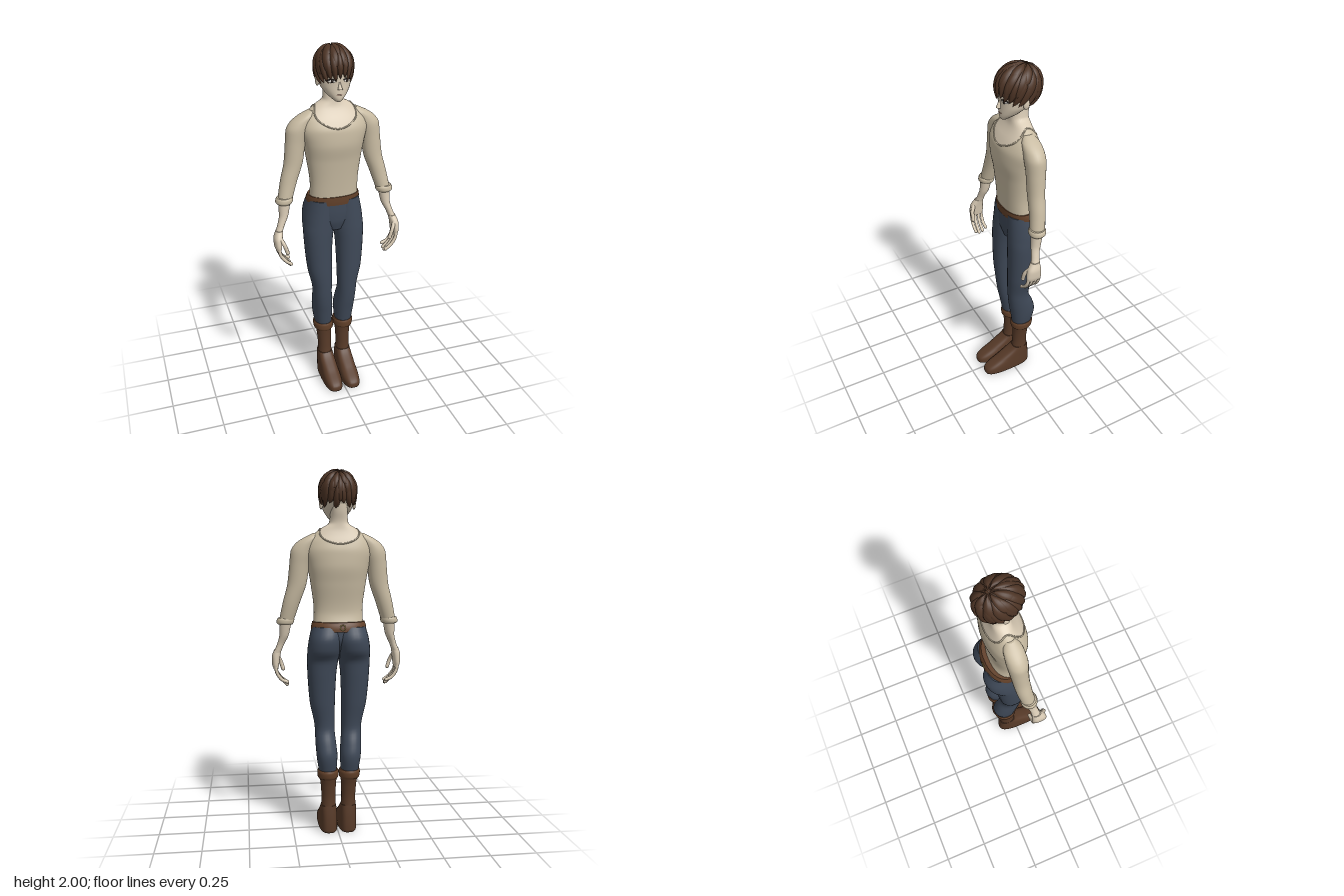
import * as THREE from 'three';

const mat = (name, color, side = THREE.FrontSide) => {
  const m = new THREE.MeshStandardMaterial({ color, side });
  m.name = name;
  return m;
};

// Smooth grid surface from fn(u, v); wrap closes it around u, caps fill both ends.
function grid(fn, nu, nv, wrap = true, caps = false) {
  const pos = [], idx = [], cols = wrap ? nu : nu + 1;
  for (let i = 0; i <= nv; i++)
    for (let j = 0; j < cols; j++) pos.push(...fn(j / nu, i / nv));
  for (let i = 0; i < nv; i++)
    for (let j = 0; j < nu; j++) {
      const k = (j + 1) % cols;
      const a = i * cols + j, b = a + cols, c = (i + 1) * cols + k, d = i * cols + k;
      idx.push(a, b, d, b, c, d);
    }
  if (caps) for (const v of [0, 1]) {
    const base = pos.length / 3, mid = [0, 0, 0];
    for (let j = 0; j < nu; j++) {
      const p = fn(j / nu, v);
      pos.push(...p);
      p.forEach((q, k) => { mid[k] += q / nu; });
    }
    pos.push(...mid);
    for (let j = 0; j < nu; j++) {
      const k = (j + 1) % nu;
      idx.push(base + nu, base + (v ? k : j), base + (v ? j : k));
    }
  }
  const g = new THREE.BufferGeometry();
  g.setAttribute('position', new THREE.Float32BufferAttribute(pos, 3));
  g.setIndex(idx);
  g.computeVertexNormals();
  return g;
}

// Monotone cubic interpolation of column k of rows [y, x0, x1, z0, z1], rising in y.
function sample(rows, y, k) {
  const n = rows.length - 1;
  let i = 0;
  while (i < n - 1 && y > rows[i + 1][0]) i++;
  const slope = (j) => (rows[j + 1][k] - rows[j][k]) / (rows[j + 1][0] - rows[j][0]);
  const tan = (j) => {
    if (j === 0) return slope(0);
    if (j === n) return slope(n - 1);
    const a = slope(j - 1), b = slope(j);
    return a * b <= 0 ? 0 : (2 * a * b) / (a + b);
  };
  const h = rows[i + 1][0] - rows[i][0], t = (y - rows[i][0]) / h;
  const t2 = t * t, t3 = t2 * t;
  return (2 * t3 - 3 * t2 + 1) * rows[i][k] + (t3 - 2 * t2 + t) * h * tan(i)
    + (3 * t2 - 2 * t3) * rows[i + 1][k] + (t3 - t2) * h * tan(i + 1);
}

// Point on a rounded cross-section at height y; e > 2 makes it boxier.
function ringPoint(rows, y, u, e = 2) {
  const [x0, x1, z0, z1] = [1, 2, 3, 4].map((k) => sample(rows, y, k));
  const c = Math.cos(u * Math.PI * 2), s = Math.sin(u * Math.PI * 2);
  const p = (q) => Math.sign(q) * Math.abs(q) ** (2 / e);
  return [(x0 + x1) / 2 + (x1 - x0) / 2 * p(c), y, (z0 + z1) / 2 + (z1 - z0) / 2 * p(s)];
}

function loft(rows, { e = 2, nu = 28, nv = 24 } = {}) {
  const y0 = rows[0][0], y1 = rows[rows.length - 1][0];
  return grid((u, v) => ringPoint(rows, y0 + (y1 - y0) * v, u, e), nu, nv, true, true);
}

const even = (rows) => rows.map(([y, h, z0, z1]) => [y, -h, h, z0, z1]);
const flip = (rows, s) => (s > 0 ? rows : rows.map(([y, a, b, c, d]) => [y, -b, -a, c, d]));

export function createModel() {
  const skin = mat('skin', 0xd9cbb5), shirt = mat('shirt', 0xc8bba2, THREE.DoubleSide);
  const denim = mat('trousers', 0x3f4958), leather = mat('boot leather', 0x573a28);
  const strap = mat('belt leather', 0x63412a), hair = mat('hair', 0x4d3425, THREE.DoubleSide);
  const dark = mat('eye dark', 0x2a211d), white = mat('eye white', 0xeeeae2);
  const brass = mat('buckle brass', 0xb09a5c), lip = mat('lip', 0xa87e6c);

  const model = new THREE.Group(), body = new THREE.Group(), head = new THREE.Group();
  model.name = 'figure'; body.name = 'body'; head.name = 'head';
  body.position.x = -0.005;
  model.add(body, head);
  const add = (parent, name, geo, m) => {
    const mesh = new THREE.Mesh(geo, m);
    mesh.name = name;
    parent.add(mesh);
    return mesh;
  };
  const ball = (parent, name, m, p, r) => {
    const mesh = add(parent, name, new THREE.SphereGeometry(1, 16, 12), m);
    mesh.position.set(...p);
    mesh.scale.set(...r);
    return mesh;
  };
  const tube = (parent, name, pts, r, m, closed = false, n = 14) => add(parent, name,
    new THREE.TubeGeometry(new THREE.CatmullRomCurve3(pts.map((p) => new THREE.Vector3(...p)), closed), n, r, 8, closed), m);

  // Torso: one surface split at the neckline into shirt and bare neck
  const torso = even([[1.15, 0.138, -0.14, 0.03], [1.25, 0.133, -0.115, 0.036], [1.4, 0.15, -0.135, 0.05],
    [1.5, 0.168, -0.15, 0.065], [1.57, 0.182, -0.148, 0.06], [1.62, 0.172, -0.135, 0.036],
    [1.66, 0.135, -0.12, 0.008], [1.69, 0.098, -0.112, -0.008], [1.72, 0.052, -0.11, -0.014],
    [1.78, 0.045, -0.122, -0.02], [1.84, 0.048, -0.13, -0.02]]);
  const neckline = (u) => {
    const c = Math.abs(Math.cos(u * Math.PI * 2)), front = Math.sin(u * Math.PI * 2) > 0;
    const low = front ? 1.585 : 1.61;
    return low + (1.69 - low) * c ** 1.6;
  };
  add(body, 'shirt body', grid((u, v) => ringPoint(torso, 1.15 + (neckline(u) - 1.15) * v, u, 2.25), 64, 36), shirt);
  add(body, 'neck', grid((u, v) => ringPoint(torso, neckline(u) + (1.84 - neckline(u)) * v, u, 2.25), 64, 20), skin);
  const rim = Array.from({ length: 48 }, (_, i) => ringPoint(torso, neckline(i / 48), i / 48, 2.25));
  tube(body, 'collar hem', rim, 0.004, shirt, true, 96);

  // Belt with a small buckle at the back
  add(body, 'belt', loft(even([[1.146, 0.15, -0.165, 0.036], [1.17, 0.15, -0.163, 0.038], [1.195, 0.143, -0.15, 0.038]]), { e: 2.2, nu: 40, nv: 4 }), strap);
  const buckle = add(body, 'buckle', new THREE.TorusGeometry(0.014, 0.003, 6, 16), brass);
  buckle.position.set(-0.01, 1.17, -0.163);

  // Hips joining both legs
  add(body, 'hips', loft(even([[0.99, 0.05, -0.08, 0.015], [1.05, 0.12, -0.13, 0.03], [1.11, 0.152, -0.155, 0.033], [1.17, 0.143, -0.155, 0.033]]), { e: 2.2 }), denim);

  for (const s of [1, -1]) {
    const side = s > 0 ? 'left' : 'right';
    const part = (name, rows, m, opt) => add(body, `${side} ${name}`, loft(flip(rows, s), opt), m);

    // Leg and boot
    part('trouser leg', [[0.34, 0.014, 0.108, -0.118, -0.008], [0.45, 0.008, 0.124, -0.14, 0.01],
      [0.52, 0.014, 0.128, -0.122, 0.022], [0.6, 0.02, 0.13, -0.092, 0.03], [0.75, 0.018, 0.158, -0.11, 0.037],
      [0.9, 0.012, 0.17, -0.128, 0.037], [0.98, 0.002, 0.173, -0.138, 0.036], [1.04, -0.008, 0.171, -0.176, 0.034],
      [1.1, -0.015, 0.163, -0.186, 0.032], [1.17, -0.015, 0.146, -0.158, 0.03]], denim, { e: 2.15, nv: 48 });
    part('boot cuff', [[0.315, 0.008, 0.112, -0.12, -0.004], [0.325, 0.002, 0.118, -0.128, 0.002],
      [0.355, 0.001, 0.12, -0.133, 0.003], [0.366, 0.006, 0.115, -0.128, -0.002]], strap, { nv: 8 });
    part('boot shaft', [[0.12, 0.013, 0.1, -0.103, 0], [0.2, 0.017, 0.096, -0.098, -0.01],
      [0.27, 0.015, 0.1, -0.104, -0.012], [0.33, 0.01, 0.108, -0.116, -0.01]], leather);
    part('boot foot', [[0, 0.006, 0.101, -0.104, 0.175], [0.01, 0.001, 0.108, -0.11, 0.188],
      [0.032, 0.001, 0.108, -0.11, 0.185], [0.09, 0.006, 0.104, -0.107, 0.092],
      [0.14, 0.012, 0.1, -0.102, 0.012], [0.156, 0.015, 0.098, -0.1, -0.005]], leather, { e: 2.9, nu: 36 });

    // Sleeve with rolled cuff
    part('sleeve', [[1.18, 0.248, 0.325, -0.058, 0.018], [1.3, 0.207, 0.3, -0.078, 0.006],
      [1.4, 0.172, 0.275, -0.088, 0.002], [1.5, 0.155, 0.264, -0.098, 0.002], [1.57, 0.13, 0.257, -0.104, 0.004],
      [1.61, 0.11, 0.233, -0.103, 0], [1.64, 0.1, 0.192, -0.098, -0.006], [1.668, 0.1, 0.135, -0.075, -0.03]], shirt, { nv: 40 });
    part('sleeve cuff', [[1.178, 0.248, 0.328, -0.058, 0.02], [1.188, 0.241, 0.335, -0.064, 0.026],
      [1.203, 0.238, 0.333, -0.065, 0.025], [1.213, 0.243, 0.327, -0.06, 0.02]], shirt, { nv: 8 });

    // Forearm and palm
    part('forearm', [[1.02, 0.312, 0.352, -0.014, 0.036], [1.06, 0.296, 0.335, -0.018, 0.026],
      [1.12, 0.268, 0.32, -0.036, 0.018], [1.2, 0.252, 0.32, -0.052, 0.014]], skin);
    part('palm', [[0.925, 0.326, 0.352, -0.01, 0.062], [0.95, 0.322, 0.36, -0.017, 0.068],
      [0.99, 0.316, 0.362, -0.016, 0.062], [1.035, 0.308, 0.348, -0.012, 0.036]], skin, { e: 2.3, nv: 14 });

    // Fingers curl down and inward
    [[-0.007, 0.855], [0.014, 0.838], [0.036, 0.833], [0.057, 0.845]].forEach(([z, end], i) => {
      const tip = [s * 0.278, end, z + 0.004];
      tube(body, `${side} finger ${i + 1}`, [[s * 0.342, 0.945, z], [s * 0.334, 0.905, z + 0.002], [s * 0.308, 0.868, z + 0.004], tip], 0.0095, skin);
      ball(body, `${side} fingertip ${i + 1}`, skin, tip, [0.0095, 0.0095, 0.0095]);
    });
    tube(body, `${side} thumb`, [[s * 0.33, 1.0, 0.045], [s * 0.313, 0.965, 0.064], [s * 0.298, 0.92, 0.066]], 0.011, skin);
    ball(body, `${side} thumb tip`, skin, [s * 0.298, 0.92, 0.066], [0.011, 0.013, 0.011]);

    // Eye, brow and ear
    ball(head, `${side} eye white`, white, [s * 0.041, 1.831, 0.0365], [0.02, 0.008, 0.006]).rotation.y = s * 0.45;
    ball(head, `${side} iris`, dark, [s * 0.039, 1.831, 0.041], [0.008, 0.008, 0.004]).rotation.y = s * 0.45;
    tube(head, `${side} eyelid`, [[s * 0.02, 1.835, 0.045], [s * 0.042, 1.842, 0.041], [s * 0.064, 1.834, 0.028]], 0.003, dark);
    ball(head, `${side} ear`, skin, [s * 0.088, 1.82, -0.055], [0.01, 0.03, 0.018]);
  }

  // Face
  add(head, 'skull', loft(even([[1.722, 0.014, 0.005, 0.036], [1.735, 0.03, -0.025, 0.044], [1.76, 0.056, -0.07, 0.045],
    [1.8, 0.08, -0.115, 0.044], [1.86, 0.09, -0.145, 0.046], [1.92, 0.085, -0.145, 0.04], [1.965, 0.05, -0.11, 0]]), { nu: 32, nv: 30 }), skin);
  const nose = add(head, 'nose', new THREE.ConeGeometry(0.013, 0.05, 10), skin);
  nose.position.set(0, 1.812, 0.047);
  nose.rotation.x = -0.2;
  ball(head, 'mouth', lip, [0, 1.76, 0.043], [0.017, 0.003, 0.005]);

  // Hair: points around a crown tilted back; q scales the shell
  const tilt = 0.38;
  const scalp = (az, phi, q) => {
    const x = Math.sin(phi) * Math.sin(az), f = Math.sin(phi) * Math.cos(az), c = Math.cos(phi);
    const y = c * Math.cos(tilt) + f * Math.sin(tilt), z = f * Math.cos(tilt) - c * Math.sin(tilt);
    const spread = y < 0 ? Math.hypot(x, z) ** -0.65 : 1;
    return [x * 0.1 * spread * q, 1.89 + y * 0.105 * q, -0.058 + z * 0.12 * spread * q];
  };
  const reach = (az, yEnd) => {
    let phi = 0.3;
    while (phi < 2.6 && scalp(az, phi, 1)[1] > yEnd) phi += 0.02;
    return phi;
  };
  const hem = (az) => 1.805 + 0.035 * Math.max(0, Math.cos(az)) ** 2;
  add(head, 'hair cap', grid((u, v) => {
    const az = u * Math.PI * 2;
    return scalp(az, 0.001 + reach(az, hem(az) + 0.025) * v, 0.96);
  }, 40, 20), hair);

  // Overlapping pointed locks in layers
  const lock = (az, p0, p1, width, q, name) => add(head, name, grid((u, v) => {
    const s = u * 2 - 1, phi = p0 + (p1 - p0) * v;
    const w = width * Math.min(1, 0.45 + v * 1.6) * Math.sqrt(Math.max(0, 1 - v ** 3.5));
    return scalp(az + s * w, phi, q + 0.075 * (1 - s * s) * (0.4 + 0.6 * Math.sin(v * Math.PI)) - 0.03 * s * s);
  }, 6, 12, false), hair);
  [[9, 0.1, 0.5, 0.36, 1.0], [13, 0.45, 0.78, 0.28, 0.99], [19, 0.8, 1, 0.2, 0.98]].forEach(([n, p0, f, w, q], layer) => {
    for (let i = 0; i < n; i++) {
      const az = ((i + layer * 0.5) / n) * Math.PI * 2;
      const jag = 0.012 * Math.sin(i * 2.7 + layer);
      lock(az, p0, reach(az, hem(az) + jag) * f, w, q, `hair lock ${layer + 1}-${i + 1}`);
    }
  });
  return model;
}
